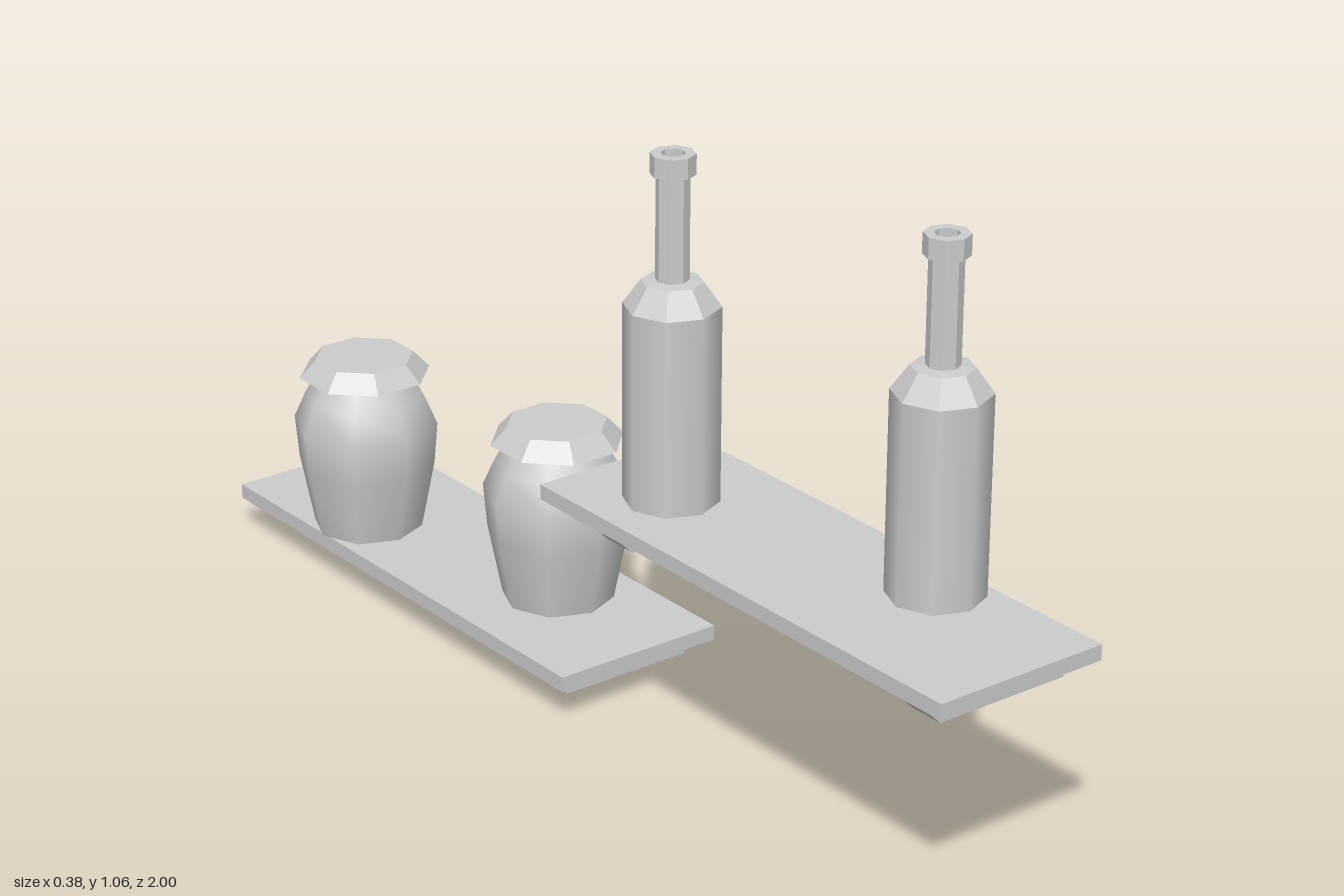
import * as THREE from 'three';

const smooth = new THREE.MeshStandardMaterial({ color: 0xcccccc, side: THREE.DoubleSide });
const flat = new THREE.MeshStandardMaterial({ color: 0xcccccc, side: THREE.DoubleSide, flatShading: true });
const WALL = 0.187, FRONT = -0.15, SIDES = 8;

function add(parent, name, geometry, material = flat) {
  const mesh = new THREE.Mesh(geometry, material);
  mesh.name = name;
  parent.add(mesh);
  return mesh;
}

// Eight-sided turned part from [radius, height] pairs, bottom to top
const turned = (profile, turn = 0) =>
  new THREE.LatheGeometry(profile.map(([r, y]) => new THREE.Vector2(r, y)), SIDES, turn);

// Bracket with a chamfered front foot, left open on the wall side
function bracketGeometry(width) {
  const shape = new THREE.Shape();
  shape.moveTo(-0.075, 0);
  shape.lineTo(WALL, 0);
  shape.lineTo(WALL, 0.062);
  shape.lineTo(-0.105, 0.062);
  shape.lineTo(-0.105, 0.03);
  const solid = new THREE.ExtrudeGeometry(shape, { depth: width, bevelEnabled: false });
  solid.translate(0, 0, -width / 2);
  const p = solid.attributes.position, kept = [];
  for (let i = 0; i < p.count; i += 3) {
    const onWall = [0, 1, 2].every(k => p.getX(i + k) > WALL - 1e-4);
    if (!onWall) for (let k = 0; k < 3; k++) kept.push(p.getX(i + k), p.getY(i + k), p.getZ(i + k));
  }
  const open = new THREE.BufferGeometry();
  open.setAttribute('position', new THREE.Float32BufferAttribute(kept, 3));
  open.computeVertexNormals();
  return open;
}

// Board resting on two brackets
function makeShelf(name, y, zMin, zMax, bracketZs) {
  const shelf = new THREE.Group();
  shelf.name = name;
  const board = add(shelf, 'board', new THREE.BoxGeometry(WALL - FRONT, 0.028, zMax - zMin));
  board.position.set((WALL + FRONT) / 2, 0.076, (zMin + zMax) / 2);
  for (const z of bracketZs) add(shelf, 'bracket', bracketGeometry(0.065)).position.z = z;
  shelf.position.y = y;
  return shelf;
}

function makeBottle(x, y, z) {
  const bottle = new THREE.Group();
  bottle.name = 'bottle';
  add(bottle, 'bottleBody', turned([[0.084, 0], [0.084, 0.355]]), smooth);
  add(bottle, 'bottleShoulder', turned([[0.084, 0.355], [0.053, 0.398], [0.029, 0.401]]));
  add(bottle, 'bottleNeck', turned([[0.029, 0.4], [0.029, 0.586]]));
  // Lip with a shallow open mouth
  add(bottle, 'bottleLip', turned([
    [0.029, 0.586], [0.039, 0.586], [0.039, 0.622], [0.021, 0.622], [0.021, 0.59], [0, 0.59],
  ]));
  bottle.position.set(x, y, z);
  return bottle;
}

function makeJar(x, y, z) {
  const jar = new THREE.Group();
  jar.name = 'jar';
  add(jar, 'jarBody', turned([
    [0.102, 0], [0.128, 0.13], [0.135, 0.21], [0.112, 0.262], [0.09, 0.3],
  ]), smooth);
  // Flared lid, turned half a side against the body
  add(jar, 'jarLid', turned([
    [0, 0.297], [0.092, 0.297], [0.122, 0.305], [0.092, 0.338], [0, 0.338],
  ], Math.PI / SIDES));
  jar.position.set(x, y, z);
  return jar;
}

export function createModel() {
  const model = new THREE.Group();
  model.name = 'stockedShelves';
  model.add(
    makeShelf('lowerShelf', 0, -1, 0.03, [-0.09, -0.875]),
    makeShelf('upperShelf', 0.346, -0.03, 1, [0.095, 0.885]),
    makeJar(-0.053, 0.09, -0.71),
    makeJar(0.045, 0.09, -0.245),
    makeBottle(-0.008, 0.435, 0.152),
    makeBottle(0.102, 0.435, 0.702),
  );
  return model;
}
